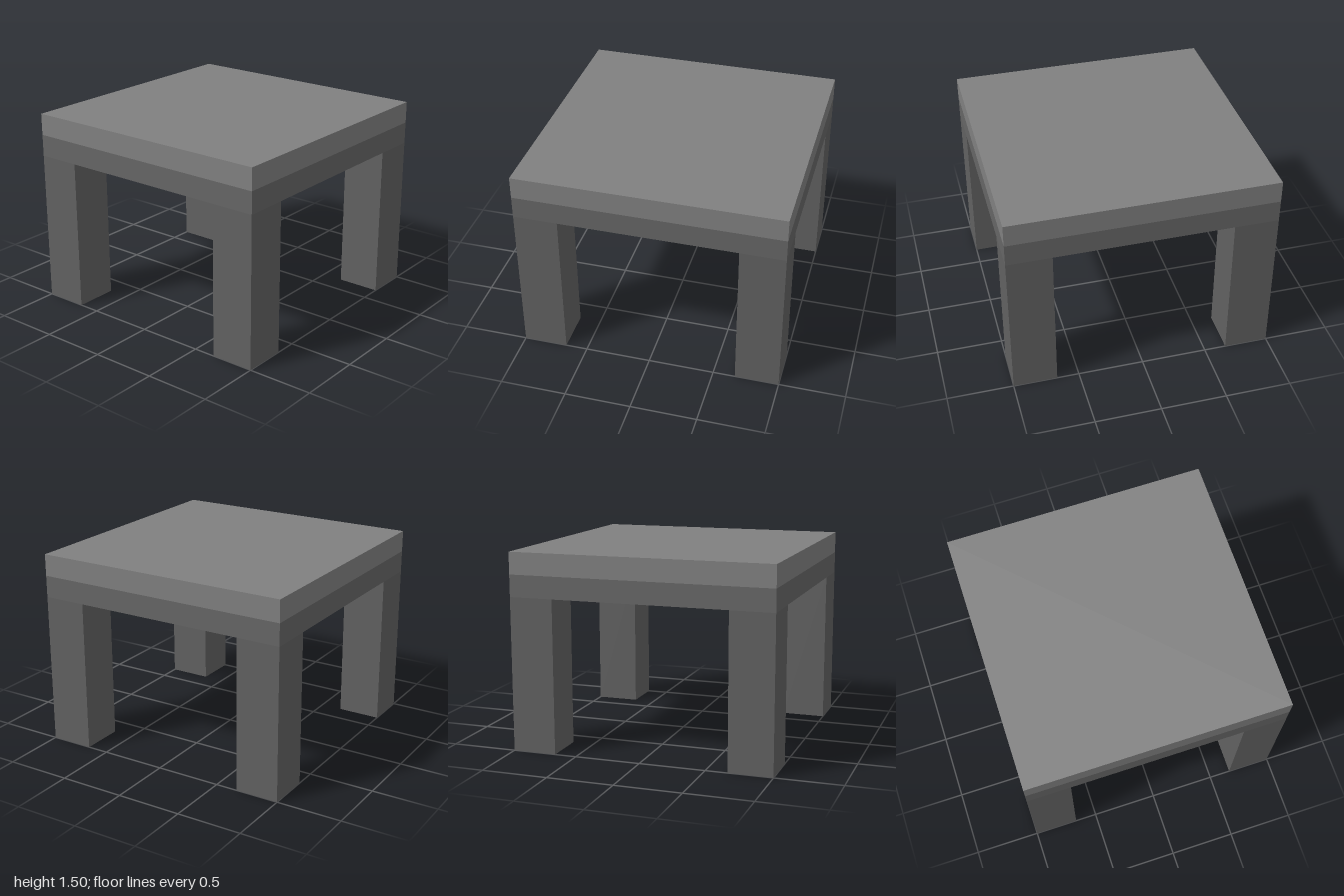
import * as THREE from 'three';

const U = 1 / 6; // base unit: slab thickness, apron height and apron thickness

export function createModel() {
  const table = new THREE.Group();
  table.name = 'table';

  const topMat = new THREE.MeshStandardMaterial({ color: 0x808080 });
  const apronMat = new THREE.MeshStandardMaterial({ color: 0x666666 });
  const legMat = new THREE.MeshStandardMaterial({ color: 0x616161 });

  const add = (name, geometry, material, x, y, z) => {
    const mesh = new THREE.Mesh(geometry, material);
    mesh.name = name;
    mesh.position.set(x, y, z);
    table.add(mesh);
    return mesh;
  };

  // Square top slab
  add('tableTop', new THREE.BoxGeometry(2, U, 2), topMat, 0, 8.5 * U, 0);

  // Apron: square frame flush with the slab, open in the middle
  const square = (r) => [[-r, -r], [r, -r], [r, r], [-r, r]].map(([x, y]) => new THREE.Vector2(x, y));
  const frame = new THREE.Shape(square(1));
  frame.holes.push(new THREE.Path(square(1 - U)));
  const apronGeo = new THREE.ExtrudeGeometry(frame, { depth: U, bevelEnabled: false });
  apronGeo.rotateX(-Math.PI / 2);
  add('apron', apronGeo, apronMat, 0, 7 * U, 0);

  // Four square corner legs, twice as thick as the apron
  const legGeo = new THREE.BoxGeometry(2 * U, 7 * U, 2 * U);
  for (const [side, sx] of [['Left', 1], ['Right', -1]]) {
    for (const [end, sz] of [['front', 1], ['back', -1]]) {
      add(`${end}${side}Leg`, legGeo, legMat, sx * (1 - U), 3.5 * U, sz * (1 - U));
    }
  }

  return table;
}
